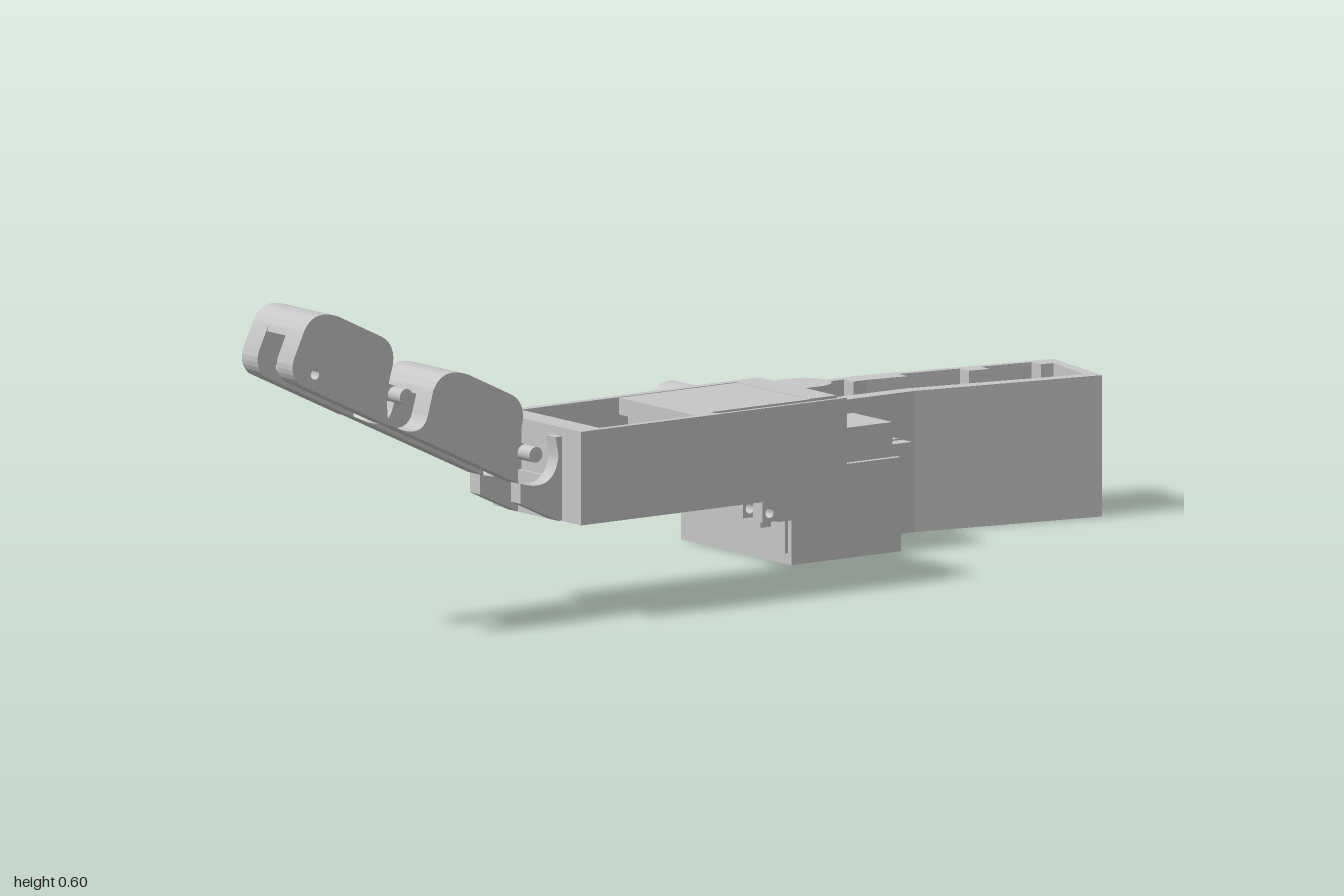
import * as THREE from 'three';
import { toCreasedNormals } from 'three/addons/utils/BufferGeometryUtils.js';

const grey = new THREE.MeshStandardMaterial({ color: 0xc6c6c6 });
grey.name = 'plain grey';

function add(parent, name, geometry) {
  const mesh = new THREE.Mesh(geometry, grey);
  mesh.name = name;
  parent.add(mesh);
  return mesh;
}
const vecs = (pts) => pts.map(([a, b]) => new THREE.Vector2(a, b));

// Plan outline [x, z] as counter-clockwise shape points
function plan(pts) {
  const v = vecs(pts.map(([x, z]) => [x, -z]));
  return THREE.ShapeUtils.isClockWise(v) ? v.reverse() : v;
}
// Plan outline raised from y0 to y1
function slab(pts, y0, y1, holes = []) {
  const shape = new THREE.Shape(plan(pts));
  shape.holes = holes.map((h) => new THREE.Path(plan(h).reverse()));
  return new THREE.ExtrudeGeometry(shape, { depth: y1 - y0, bevelEnabled: false })
    .rotateX(-Math.PI / 2).translate(0, y0, 0);
}
// Side outline (z, y) spanning x0 to x1
function side(shape, x0, x1) {
  const s = Array.isArray(shape) ? new THREE.Shape(vecs(shape)) : shape;
  const g = new THREE.ExtrudeGeometry(s, { depth: x1 - x0, bevelEnabled: false, curveSegments: 16 })
    .rotateY(-Math.PI / 2).translate(x1, 0, 0);
  return toCreasedNormals(g, 0.5);
}
const rect = (x0, x1, z0, z1) => [[x0, z0], [x1, z0], [x1, z1], [x0, z1]];
const box = (x0, x1, y0, y1, z0, z1) => new THREE.BoxGeometry(x1 - x0, y1 - y0, z1 - z0)
  .translate((x0 + x1) / 2, (y0 + y1) / 2, (z0 + z1) / 2);
const barX = (r, x0, x1, y, z) => new THREE.CylinderGeometry(r, r, x1 - x0, 28)
  .rotateZ(Math.PI / 2).translate((x0 + x1) / 2, y, z);

// Bent open tray with four wall pockets
function tray() {
  const g = new THREE.Group();
  g.name = 'bentTray';
  const outer = [[-0.29, -0.236], [-0.29, -0.61], [-0.222, -1], [-0.037, -0.97], [-0.105, -0.61], [-0.105, -0.236]];
  const wallX = (z) => -0.245 + Math.max(0, -0.61 - z) * 0.16;
  const cavity = [[-0.14, -0.285], [wallX(-0.285), -0.285]];
  const pockets = [];
  for (const [a, b] of [[-0.32, -0.43], [-0.47, -0.58], [-0.69, -0.81], [-0.85, -0.95]]) {
    const p = wallX(a), q = wallX(b);
    if (a === -0.69) cavity.push([wallX(-0.61), -0.61]);
    cavity.push([p, a], [p - 0.027, a], [q - 0.027, b], [q, b]);
    pockets.push([[p - 0.027, a], [q - 0.027, b], [q + 0.04, b], [p + 0.04, a]]);
  }
  cavity.push([wallX(-0.975), -0.975], [-0.065, -0.95], [-0.135, -0.61]);
  add(g, 'trayBase', slab(outer, 0, 0.1));
  add(g, 'trayFloor', slab(outer, 0.1, 0.17, pockets));
  add(g, 'trayWalls', slab(outer, 0.17, 0.252, [cavity]));
  return g;
}

// Block, motor and swinging arm beside the tray
function thumbJoint() {
  const g = new THREE.Group();
  g.name = 'swingJoint';
  add(g, 'mountBlock', box(-0.11, 0.036, 0, 0.168, -0.475, -0.236));
  add(g, 'mountWedge', slab([[-0.265, -0.235], [0.036, -0.203], [0.036, -0.25], [-0.265, -0.25]], 0.08, 0.168));
  add(g, 'mountCover', box(-0.092, 0.025, 0.02, 0.08, -0.24, -0.23));
  add(g, 'coverPeg', box(-0.05, -0.017, 0.062, 0.072, -0.24, -0.207));
  const ends = [[-0.09, -0.205], [-0.04, -0.205], [-0.04, -0.225], [-0.028, -0.225], [-0.028, -0.205], [0.025, -0.205],
    [0.025, -0.508], [-0.003, -0.508], [-0.003, -0.485], [-0.015, -0.485], [-0.015, -0.508],
    [-0.05, -0.508], [-0.05, -0.485], [-0.062, -0.485], [-0.062, -0.508], [-0.09, -0.508]];
  add(g, 'motorFlange', slab(ends, 0.168, 0.19));
  add(g, 'motorBody', box(-0.09, 0.025, 0.19, 0.23, -0.465, -0.23));
  add(g, 'motorCap', box(-0.08, 0.015, 0.23, 0.25, -0.36, -0.25));
  add(g, 'motorGear', new THREE.CylinderGeometry(0.03, 0.03, 0.02, 24).translate(-0.033, 0.24, -0.36));
  add(g, 'armHub', new THREE.CylinderGeometry(0.045, 0.045, 0.05, 32).translate(-0.033, 0.255, -0.31));
  const arm = new THREE.Shape();
  arm.moveTo(0.015, 0.055);
  arm.lineTo(0.015, 0.315);
  arm.absarc(-0.033, 0.315, 0.048, 0, Math.PI, false);
  arm.lineTo(-0.081, 0.055);
  const armGeo = new THREE.ExtrudeGeometry(arm, { depth: 0.035, bevelEnabled: false, curveSegments: 20 })
    .rotateX(-Math.PI / 2).translate(0, 0.273, 0);
  add(g, 'swingArm', toCreasedNormals(armGeo, 0.5));
  const ring = new THREE.Shape();
  ring.absarc(-0.055, 0.284, 0.048, 0, Math.PI * 2, false);
  ring.holes.push(new THREE.Path().absarc(-0.055, 0.284, 0.022, 0, Math.PI * 2, true));
  add(g, 'armBarrel', side(ring, -0.081, 0));
  add(g, 'barrelEnd', barX(0.048, 0, 0.018, 0.284, -0.055));
  add(g, 'barrelHorn', box(0.014, 0.05, 0.24, 0.336, -0.105, 0.025));
  return g;
}

// Open palm case with built-in motor
function palm() {
  const g = new THREE.Group();
  g.name = 'palmCase';
  const outer = rect(0.028, 0.288, -0.17, 0.412);
  add(g, 'caseFloor', slab(outer, 0.174, 0.195, [rect(0.06, 0.253, 0.29, 0.36)]));
  add(g, 'lowerWalls', slab(outer, 0.195, 0.255, [rect(0.044, 0.275, -0.11, 0.362)]));
  add(g, 'upperWalls', slab([[0.028, -0.17], [0.258, -0.17], [0.258, -0.11], [0.044, -0.11], [0.044, 0.362],
    [0.275, 0.362], [0.275, 0.105], [0.28, 0.105], [0.28, -0.17], [0.288, -0.17], [0.288, 0.412], [0.028, 0.412]], 0.255, 0.341));
  add(g, 'palmMotor', box(0.044, 0.258, 0.195, 0.34, -0.112, 0.105));
  add(g, 'motorLid', box(0.044, 0.275, 0.31, 0.34, 0.105, 0.148));
  add(g, 'motorFoot', box(0.06, 0.255, 0.195, 0.31, 0.105, 0.14));

  // Two drilled lugs under the case
  for (const x of [0.115, 0.173]) {
    const lug = new THREE.Shape(vecs([[-0.08, 0.118], [-0.05, 0.118], [-0.05, 0.176], [-0.08, 0.176]]));
    lug.holes.push(new THREE.Path().absarc(-0.065, 0.134, 0.009, 0, Math.PI * 2, true));
    add(g, 'lug', side(lug, x, x + 0.028));
  }

  // Cupped knuckle cheeks and the block between them
  const cheek = new THREE.Shape();
  cheek.moveTo(0.405, 0.175);
  cheek.lineTo(0.42, 0.175);
  cheek.lineTo(0.503, 0.214);
  cheek.lineTo(0.503, 0.25);
  cheek.quadraticCurveTo(0.43, 0.225, 0.42, 0.29);
  cheek.lineTo(0.426, 0.325);
  cheek.lineTo(0.405, 0.325);
  for (const [a, b] of [[0.083, 0.112], [0.203, 0.232]]) add(g, 'knuckleCheek', side(cheek, a, b));
  add(g, 'knuckleBlock', box(0.11, 0.205, 0.175, 0.25, 0.405, 0.42));
  return g;
}

// Finger segment; the tip is closed and rounded, the other ends in a cup
function fingerSegment(isTip) {
  const g = new THREE.Group();
  g.name = isTip ? 'fingerTip' : 'fingerBase';
  const s = new THREE.Shape();
  s.moveTo(0.505, 0.25);
  if (isTip) {
    s.lineTo(0.7, 0.343);
    s.quadraticCurveTo(0.722, 0.36, 0.714, 0.388);
    s.holes.push(new THREE.Path().absarc(0.667, 0.358, 0.009, 0, Math.PI * 2, true));
  } else {
    s.lineTo(0.79, 0.385);
    s.quadraticCurveTo(0.715, 0.345, 0.703, 0.395);
  }
  s.lineTo(0.692, 0.435);
  s.quadraticCurveTo(0.672, 0.477, 0.615, 0.456);
  s.lineTo(0.52, 0.41);
  s.quadraticCurveTo(0.485, 0.39, 0.5, 0.345);
  s.quadraticCurveTo(0.515, 0.3, 0.505, 0.25);
  for (const [a, b] of [[0.08, 0.126], [0.183, 0.229]]) add(g, 'fingerCheek', side(s, a, b));

  // Back plate with a screw hole, and the rounded shell in front of it
  const plate = new THREE.Shape(vecs([[-0.03, 0], [0.03, 0], [0.03, 0.108], [-0.03, 0.108]]));
  plate.holes.push(new THREE.Path().absarc(0, 0.09, 0.017, 0, Math.PI * 2, true));
  const backPlate = add(g, 'backPlate', new THREE.ExtrudeGeometry(plate, { depth: 0.025, bevelEnabled: false, curveSegments: 16 })
    .rotateX(Math.PI / 2));
  backPlate.position.set(0.155, 0.41, 0.52);
  backPlate.rotation.x = -0.45;
  const shell = new THREE.Shape();
  shell.moveTo(0.615, 0.456);
  shell.lineTo(0.626, 0.434);
  shell.quadraticCurveTo(0.66, 0.445, 0.672, 0.424);
  shell.lineTo(0.695, 0.424);
  shell.lineTo(0.692, 0.435);
  shell.quadraticCurveTo(0.672, 0.477, 0.615, 0.456);
  add(g, 'frontShell', side(shell, 0.125, 0.184));

  // Rounded heel, split by a slot
  const heel = new THREE.Shape();
  heel.moveTo(0.52, 0.41);
  heel.quadraticCurveTo(0.485, 0.39, 0.5, 0.345);
  heel.lineTo(0.52, 0.35);
  heel.quadraticCurveTo(0.51, 0.375, 0.531, 0.388);
  for (const [a, b] of [[0.125, 0.135], [0.175, 0.184]]) add(g, 'heelEdge', side(heel, a, b));
  add(g, 'heelBar', side([[0.498, 0.352], [0.5, 0.345], [0.52, 0.35], [0.515, 0.368], [0.496, 0.368]], 0.134, 0.176));

  // Cross bars in the open channel
  for (const [z, y] of [[0.53, 0.31], [0.6, 0.345]]) add(g, 'channelBar', box(0.124, 0.185, y, y + 0.014, z, z + 0.02));

  // Hinge tongue and pin
  add(g, 'hingeTongue', side([[0.455, 0.284], [0.47, 0.284], [0.525, 0.325], [0.52, 0.352], [0.497, 0.35], [0.48, 0.318], [0.455, 0.308]], 0.122, 0.187));
  add(g, 'hingePin', barX(0.014, 0.09, 0.222, 0.296, 0.462));
  return g;
}

export function createModel() {
  const model = new THREE.Group();
  model.name = 'jointedHandMechanism';
  const tip = fingerSegment(true);
  tip.position.set(0, 0.133, 0.284);
  model.add(tray(), thumbJoint(), palm(), fingerSegment(false), tip);
  return model;
}
